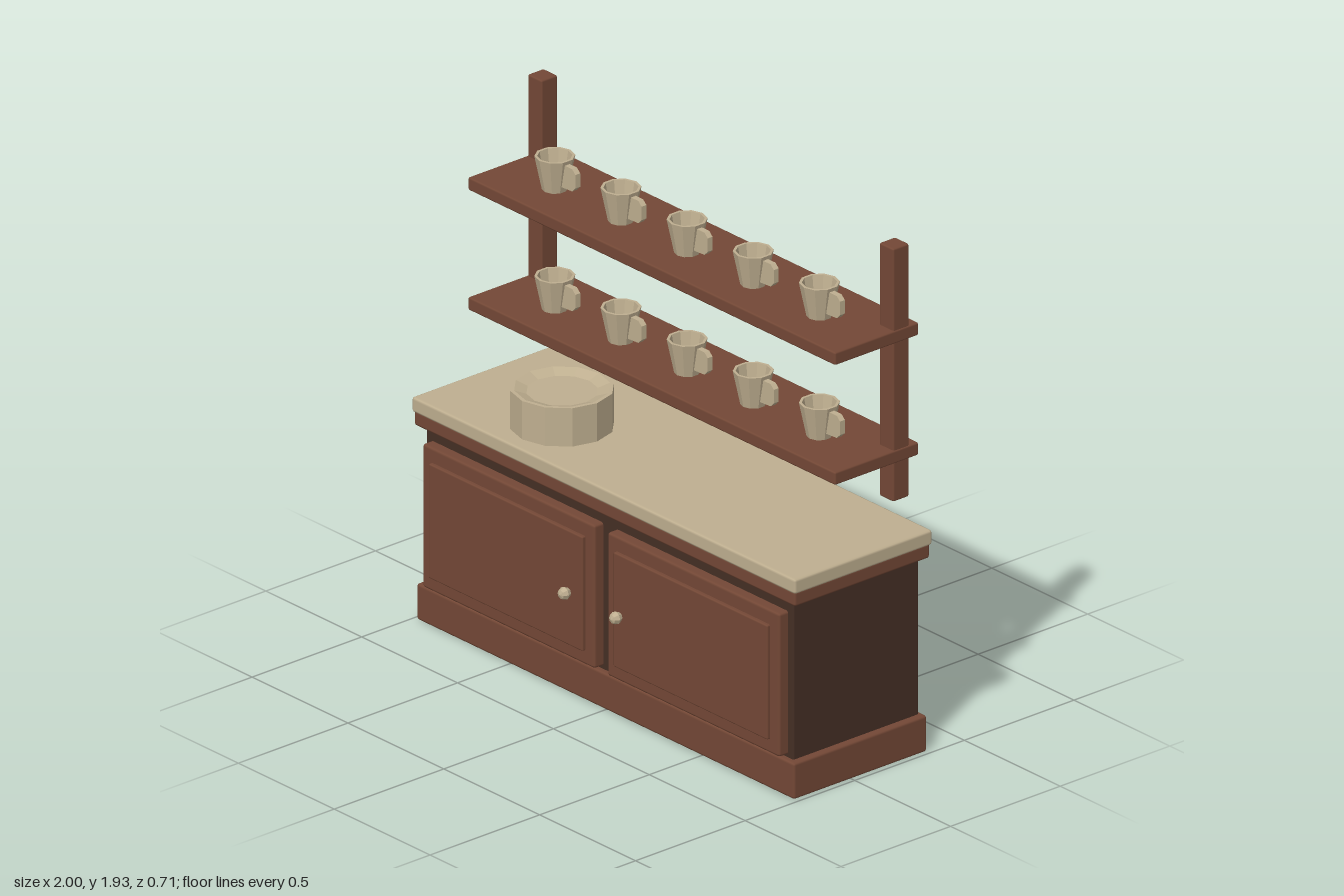
import * as THREE from 'three';
import { RoundedBoxGeometry } from 'three/addons/geometries/RoundedBoxGeometry.js';

const wood = new THREE.MeshStandardMaterial({ color: 0x744836 });
wood.name = 'redBrownWood';
const darkWood = new THREE.MeshStandardMaterial({ color: 0x452f25 });
darkWood.name = 'darkWood';
const cream = new THREE.MeshStandardMaterial({ color: 0xbfaf90 });
cream.name = 'cream';

function add(parent, name, geometry, material, x = 0, y = 0, z = 0) {
  const mesh = new THREE.Mesh(geometry, material);
  mesh.name = name;
  mesh.position.set(x, y, z);
  parent.add(mesh);
  return mesh;
}

// Slightly bevelled box given by its limits on each axis
function block(parent, name, material, [x0, x1], [y0, y1], [z0, z1], bevel = 0.007) {
  const g = new RoundedBoxGeometry(x1 - x0, y1 - y0, z1 - z0, 1, bevel);
  return add(parent, name, g, material, (x0 + x1) / 2, (y0 + y1) / 2, (z0 + z1) / 2);
}

// Faceted turned shape from [radius, height] pairs
function turned(points, sides) {
  const lathe = new THREE.LatheGeometry(points.map(([r, y]) => new THREE.Vector2(r, y)), sides);
  const flat = lathe.toNonIndexed();
  flat.computeVertexNormals();
  return flat;
}

// Handle outline with a smaller opening, extruded to a thin loop
function handleGeometry() {
  const shape = new THREE.Shape([
    [0.048, 0.025], [0.103, 0.028], [0.12, 0.045], [0.12, 0.096], [0.103, 0.112], [0.058, 0.112],
  ].map(p => new THREE.Vector2(...p)));
  shape.holes.push(new THREE.Path([
    [0.046, 0.046], [0.054, 0.093], [0.094, 0.093], [0.101, 0.086], [0.101, 0.053], [0.094, 0.046],
  ].map(p => new THREE.Vector2(...p))));
  const g = new THREE.ExtrudeGeometry(shape, { depth: 0.022, bevelEnabled: false });
  return g.translate(0, 0, -0.011);
}

export function createModel() {
  const model = new THREE.Group();
  model.name = 'kitchenCounterWithShelves';

  // Cabinet and worktop
  const cabinet = new THREE.Group();
  cabinet.name = 'cabinet';
  model.add(cabinet);
  block(cabinet, 'plinth', wood, [-0.985, 0.985], [0, 0.137], [-0.344, 0.264], 0.01);
  block(cabinet, 'cabinetBody', darkWood, [-0.958, 0.958], [0.1, 0.76], [-0.329, 0.243]);
  block(cabinet, 'topRail', wood, [-0.994, 0.994], [0.733, 0.79], [-0.349, 0.268], 0.01);
  block(cabinet, 'worktop', cream, [-1, 1], [0.783, 0.84], [-0.355, 0.273], 0.01);

  // Doors with raised panels and knobs
  for (const side of [-1, 1]) {
    const door = new THREE.Group();
    door.name = side < 0 ? 'rightDoor' : 'leftDoor';
    door.position.x = side * 0.482;
    cabinet.add(door);
    block(door, 'doorFrame', wood, [-0.449, 0.449], [0.148, 0.69], [0.225, 0.284], 0.01);
    block(door, 'doorPanel', wood, [-0.402, 0.402], [0.202, 0.635], [0.265, 0.298], 0.006);
    const knob = turned([[0, -0.023], [0.016, -0.017], [0.024, 0], [0.016, 0.017], [0, 0.023]], 8);
    add(door, 'knob', knob, cream, -side * 0.348, 0.415, 0.333).rotation.x = Math.PI / 2;
  }

  // Stack of plates
  const plates = new THREE.Group();
  plates.name = 'plateStack';
  plates.position.set(-0.485, 0.84, 0.036);
  model.add(plates);
  const count = 6;
  const h = 0.145 / count;
  const plate = turned([[0, 0], [0.182, 0], [0.182, h], [0.168, h], [0.125, 0.008], [0, 0.008]], 12);
  for (let i = 0; i < count; i++) add(plates, 'plate', plate, cream, 0, i * h, 0);

  // Shelf unit with two posts
  const shelves = new THREE.Group();
  shelves.name = 'shelfUnit';
  model.add(shelves);
  for (const side of [-1, 1]) {
    const c = side * 0.917;
    block(shelves, 'post', wood, [c - 0.037, c + 0.037], [0.97, 1.927], [-0.289, -0.216]);
  }

  // Shelves, each with a row of five mugs
  const cup = turned([[0, 0], [0.045, 0], [0.071, 0.126], [0.061, 0.126], [0.041, 0.016], [0, 0.016]], 10);
  const handle = handleGeometry();
  for (const top of [1.165, 1.618]) {
    block(shelves, 'shelf', wood, [-0.958, 0.958], [top - 0.049, top], [-0.329, 0.053]);
    for (let i = -2; i <= 2; i++) {
      const mug = new THREE.Group();
      mug.name = 'mug';
      mug.position.set(i * 0.345, top, -0.11);
      shelves.add(mug);
      add(mug, 'mugCup', cup, cream);
      add(mug, 'mugHandle', handle, cream);
    }
  }
  return model;
}
